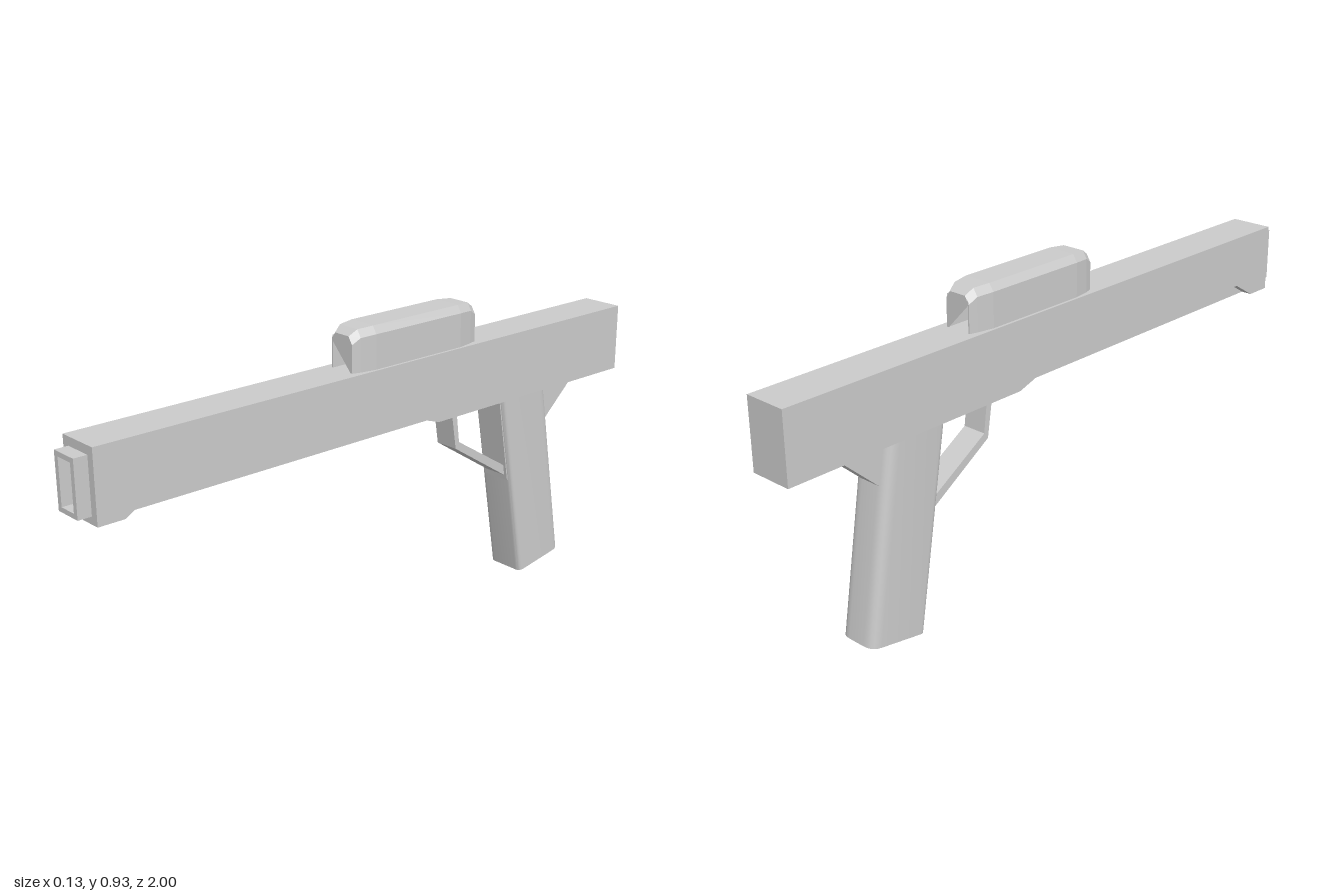
import * as THREE from 'three';
import { toCreasedNormals } from 'three/addons/utils/BufferGeometryUtils.js';

const grey = new THREE.MeshStandardMaterial({ color: 0xcccccc });

function addMesh(group, name, geometry) {
  const mesh = new THREE.Mesh(geometry, grey);
  mesh.name = name;
  group.add(mesh);
  return mesh;
}

// Side outline given as [z, y] points, extruded symmetrically across x
function sidePlate(points, halfWidth) {
  const shape = new THREE.Shape(points.map(([z, y]) => new THREE.Vector2(z, y)));
  return new THREE.ExtrudeGeometry(shape, { depth: halfWidth * 2, bevelEnabled: false })
    .translate(0, 0, -halfWidth)
    .rotateY(-Math.PI / 2);
}

// Closed tube of cross-sections: equal-length rings of [x, y, z], with end caps
function loft(rings, capShape) {
  const pos = [];
  const tri = (a, b, c) => pos.push(...a, ...b, ...c);
  const n = rings[0].length;
  for (let r = 0; r < rings.length - 1; r++) {
    for (let i = 0; i < n; i++) {
      const j = (i + 1) % n;
      const [a, b, c, d] = [rings[r][i], rings[r][j], rings[r + 1][j], rings[r + 1][i]];
      tri(a, b, c);
      tri(a, c, d);
    }
  }
  const last = rings[rings.length - 1];
  for (const [a, b, c] of capShape) {
    tri(rings[0][a], rings[0][c], rings[0][b]);
    tri(last[a], last[b], last[c]);
  }
  const geometry = new THREE.BufferGeometry();
  geometry.setAttribute('position', new THREE.Float32BufferAttribute(pos, 3));
  geometry.computeVertexNormals();
  return geometry;
}

// Arched top housing, open from end to end, narrowing at both ends
function housingGeometry() {
  const stations = [
    [-0.365, 0.042, 0.91], [-0.34, 0.049, 0.927], [-0.29, 0.058, 0.93],
    [0.04, 0.058, 0.93], [0.09, 0.05, 0.927], [0.115, 0.042, 0.91],
  ];
  const rings = stations.map(([z, w, top]) => {
    const inner = Math.min(0.038, w - 0.002);
    const half = [[w, 0.8], [w, top - 0.022], [w - 0.014, top]];
    const hole = [[-inner, 0.8], [-inner, 0.902], [inner, 0.902], [inner, 0.8]];
    const left = half.map(([x, y]) => [-x, y]).reverse();
    return [...half, ...left, ...hole].map(([x, y]) => [x, y, z]);
  });
  const contour = rings[0].map(([x, y]) => new THREE.Vector2(x, y));
  return loft(rings, THREE.ShapeUtils.triangulateShape(contour, []));
}

// Grip section: tighter corners at the front, rounder at the back
function gripGeometry(width, depth, length, front, back) {
  const s = new THREE.Shape();
  const h = depth / 2;
  s.moveTo(-width + front, -h);
  s.lineTo(width - front, -h);
  s.quadraticCurveTo(width, -h, width, -h + front);
  s.lineTo(width, h - back);
  s.quadraticCurveTo(width, h, width - back, h);
  s.lineTo(-width + back, h);
  s.quadraticCurveTo(-width, h, -width, h - back);
  s.lineTo(-width, -h + front);
  s.quadraticCurveTo(-width, -h, -width + front, -h);
  const geometry = new THREE.ExtrudeGeometry(s, { depth: length, bevelEnabled: false, curveSegments: 5 });
  return toCreasedNormals(geometry.rotateX(-Math.PI / 2), 0.6);
}

export function createModel() {
  const model = new THREE.Group();
  model.name = 'blaster';

  // Long body with the lower edges cut away, and a narrower rail in the cut
  addMesh(model, 'body', sidePlate([
    [-1, 0.6], [-0.2, 0.6], [-0.07, 0.643], [0.8, 0.648], [0.88, 0.6],
    [0.96, 0.6], [0.96, 0.807], [-1, 0.807],
  ], 0.066));
  addMesh(model, 'underRail', sidePlate([
    [-0.22, 0.601], [0.9, 0.601], [0.9, 0.66], [-0.22, 0.66],
  ], 0.034));

  // Rectangular muzzle frame
  const rect = (Type, x, y0, y1) => new Type([
    new THREE.Vector2(-x, y0), new THREE.Vector2(x, y0),
    new THREE.Vector2(x, y1), new THREE.Vector2(-x, y1),
  ]);
  const frame = rect(THREE.Shape, 0.043, 0.622, 0.782);
  frame.holes.push(rect(THREE.Path, 0.028, 0.636, 0.768));
  addMesh(model, 'muzzle', new THREE.ExtrudeGeometry(frame, { depth: 0.045, bevelEnabled: false })
    .translate(0, 0, 0.955));

  addMesh(model, 'topHousing', housingGeometry());

  // Slanted grip with a raised strip on its front
  const grip = new THREE.Group();
  grip.name = 'grip';
  grip.position.set(0, 0.02, -0.675);
  grip.rotation.x = 0.168;
  model.add(grip);
  addMesh(grip, 'handle', gripGeometry(0.063, 0.193, 0.64, 0.018, 0.035));
  addMesh(grip, 'frontStrip', new THREE.BoxGeometry(0.096, 0.27, 0.02).translate(0, 0.465, 0.09));

  // Trigger guard and the web behind the grip
  addMesh(model, 'triggerGuard', sidePlate([
    [-0.28, 0.61], [-0.3, 0.485], [-0.53, 0.337], [-0.53, 0.368],
    [-0.314, 0.503], [-0.3, 0.61],
  ], 0.038));
  addMesh(model, 'rearWeb', sidePlate([
    [-0.62, 0.61], [-0.835, 0.61], [-0.82, 0.598], [-0.69, 0.48], [-0.62, 0.48],
  ], 0.036));

  // Turn grip section so its tight corners face forward
  return model;
}
